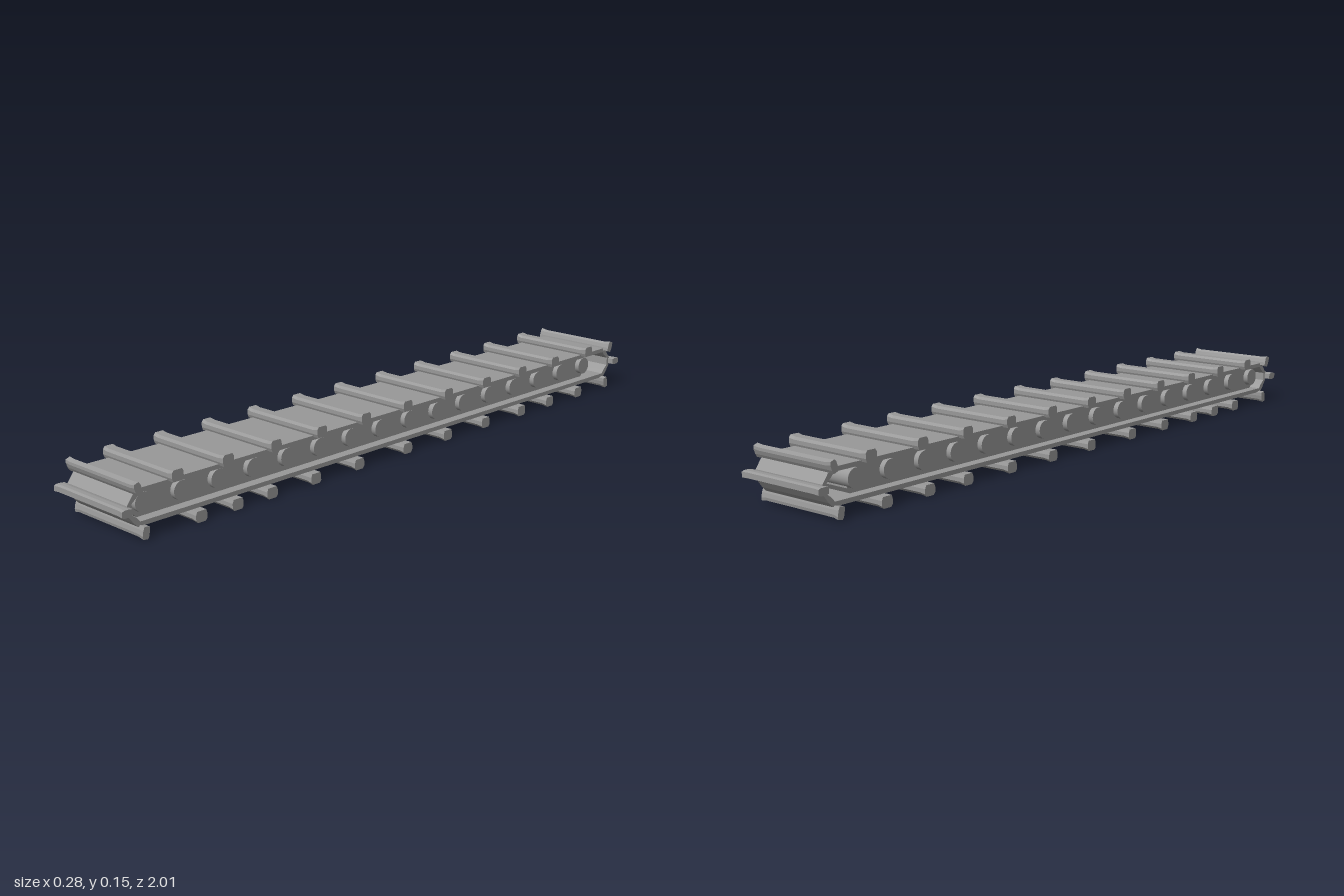
import * as THREE from 'three';

const BELT_WIDTH = 0.24;
const SLAT_WIDTH = 0.276;

// Extrudes a (z, y) outline across x, centred on x = 0
function extrudeAcross(shape, width, steps = 1) {
  const geometry = new THREE.ExtrudeGeometry(shape, { depth: width, steps, bevelEnabled: false });
  geometry.translate(0, 0, -width / 2);
  geometry.rotateY(-Math.PI / 2);
  return geometry;
}

const points = (list) => list.map(([z, y]) => new THREE.Vector2(z, y));

// Closed outline of the belt, mirrored front to back
function loopOutline(flat, shoulder, tip, top, bottom) {
  const mid = (top + bottom) / 2;
  const half = [[flat, bottom], [shoulder, bottom + 0.012], [tip, mid - 0.012],
    [tip, mid + 0.012], [shoulder, top - 0.012], [flat, top]];
  return points([...half, ...half.map(([z, y]) => [-z, y]).reverse()]);
}

// Cross bar with a chamfered profile and slightly flared ends
function slatGeometry(width, height) {
  const w = width / 2;
  const shape = new THREE.Shape(points([
    [-w * 0.8, 0], [w * 0.8, 0], [w, height * 0.35], [w, height * 0.75],
    [w * 0.7, height], [-w * 0.7, height], [-w, height * 0.75], [-w, height * 0.35],
  ]));
  const geometry = extrudeAcross(shape, SLAT_WIDTH, 16);
  const p = geometry.attributes.position;
  for (let i = 0; i < p.count; i++) {
    if (Math.abs(p.getX(i)) > SLAT_WIDTH / 2 - 0.001 && p.getY(i) > height * 0.5) {
      p.setY(i, p.getY(i) + 0.003);
    }
  }
  geometry.computeVertexNormals();
  return geometry;
}

export function createModel() {
  const model = new THREE.Group();
  model.name = 'trackAssembly';
  const grey = new THREE.MeshStandardMaterial({ color: 0x999999 });
  grey.name = 'grey';

  const add = (name, geometry, parent = model) => {
    const mesh = new THREE.Mesh(geometry, grey);
    mesh.name = name;
    parent.add(mesh);
    return mesh;
  };

  // Thin endless belt
  const loop = new THREE.Shape(loopOutline(0.945, 0.957, 0.975, 0.131, 0.035));
  loop.holes.push(new THREE.Path(loopOutline(0.938, 0.948, 0.964, 0.119, 0.047)));
  add('belt', extrudeAcross(loop, BELT_WIDTH));

  // Inner frame between the two runs of the belt
  const frame = new THREE.Shape(points([
    [-0.862, 0.046], [0.925, 0.046], [0.945, 0.065], [0.945, 0.101],
    [0.925, 0.12], [-0.862, 0.12], [-0.872, 0.105], [-0.872, 0.061],
  ]));
  add('innerFrame', extrudeAcross(frame, 0.18));

  // Row of rollers standing proud of both frame sides
  const rollers = new THREE.Group();
  rollers.name = 'rollers';
  model.add(rollers);
  const roller = new THREE.CylinderGeometry(0.026, 0.026, 0.21, 24).rotateZ(Math.PI / 2);
  for (let i = 0; i < 16; i++) {
    add('roller', roller, rollers).position.set(0, 0.086, 0.914 - i * 0.118);
  }

  // Slats on the upper and lower runs
  const slats = new THREE.Group();
  slats.name = 'slats';
  model.add(slats);
  const wide = slatGeometry(0.036, 0.027);
  const narrow = slatGeometry(0.02, 0.029);
  const addSlat = (geometry, y, z, angle) => {
    const slat = add('slat', geometry, slats);
    slat.position.set(0, y, z);
    slat.rotation.x = angle;
  };
  const upper = [0.834, 0.674, 0.513, 0.35, 0.183, 0.016, -0.157, -0.328, -0.497, -0.66, -0.835];
  const lower = [0.765, 0.647, 0.53, 0.374, 0.21, 0.016, -0.155, -0.326, -0.497, -0.638, -0.786];
  upper.forEach((z) => addSlat(wide, 0.127, z, 0));
  lower.forEach((z) => addSlat(wide, 0.033, z, Math.PI));

  // Slats turning around both ends
  for (const side of [1, -1]) {
    addSlat(narrow, 0.122, side * 0.947, side * 0.35);
    addSlat(narrow, 0.084, side * 0.971, side * Math.PI / 2);
    addSlat(narrow, 0.037, side * 0.932, side * (Math.PI - 0.2));
  }

  return model;
}
